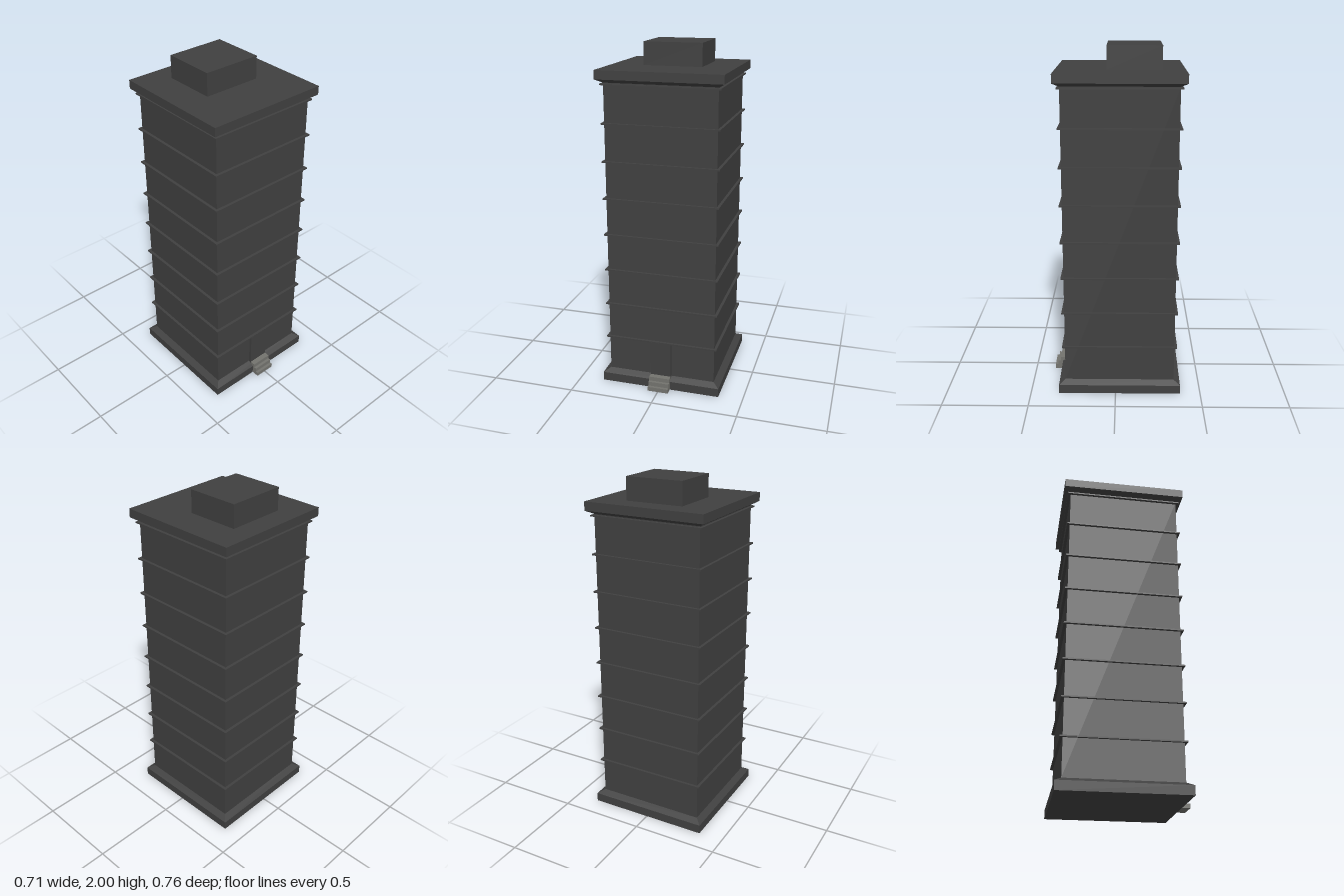
import * as THREE from 'three';

export function createModel() {
  const model = new THREE.Group();
  model.name = 'towerBlock';
  const concrete = new THREE.MeshStandardMaterial({ color: 0x404040 });
  concrete.name = 'dark concrete';
  const stone = new THREE.MeshStandardMaterial({ color: 0x73736e });
  stone.name = 'grey stone';

  const CZ = -0.0235; // centre of the square tower; the steps reach forward of it
  const HALF = 0.32, RIM = 0.357;

  // Box given by its limits on each axis
  function box(name, [x0, x1], [y0, y1], [z0, z1], material, parent = model) {
    const mesh = new THREE.Mesh(new THREE.BoxGeometry(x1 - x0, y1 - y0, z1 - z0), material);
    mesh.position.set((x0 + x1) / 2, (y0 + y1) / 2, (z0 + z1) / 2);
    mesh.name = name;
    parent.add(mesh);
  }

  // Square block on the tower axis, with its own half width at bottom and top
  function block(name, y0, y1, bottom, top = bottom, parent = model) {
    const geometry = new THREE.CylinderGeometry(top * Math.SQRT2, bottom * Math.SQRT2, y1 - y0, 4)
      .rotateY(Math.PI / 4).toNonIndexed();
    geometry.computeVertexNormals();
    const mesh = new THREE.Mesh(geometry, concrete);
    mesh.position.set(0, (y0 + y1) / 2, CZ);
    mesh.name = name;
    parent.add(mesh);
  }

  // Plinth, shaft and cornice
  block('plinth', 0, 0.052, RIM);
  block('plinthSlope', 0.052, 0.073, RIM, HALF);
  block('shaft', 0.073, 1.80, HALF);
  block('corniceSlope', 1.80, 1.82, HALF, RIM);
  block('roofSlab', 1.82, 1.87, RIM);

  // Thin ledge above every storey
  const ledges = new THREE.Group();
  ledges.name = 'storeyLedges';
  model.add(ledges);
  for (let i = 0; i < 8; i++) {
    const y = 0.287 + i * 0.2149;
    block('ledge', y - 0.004, y + 0.004, 0.336, 0.336, ledges);
  }

  // Plant room on the roof
  box('plantRoom', [-0.17, 0.17], [1.87, 2], [-0.253, 0.05], concrete);

  // Entrance door
  box('door', [-0.062, 0.062], [0.06, 0.287], [0.29, 0.313], concrete);

  // Entrance steps
  const steps = new THREE.Group();
  steps.name = 'entranceSteps';
  model.add(steps);
  const rise = 0.025;
  [0.38, 0.363, 0.346].forEach((front, i) =>
    box('step', [-0.062, 0.062], [i * rise, (i + 1) * rise], [0.312, front], stone, steps));

  return model;
}
